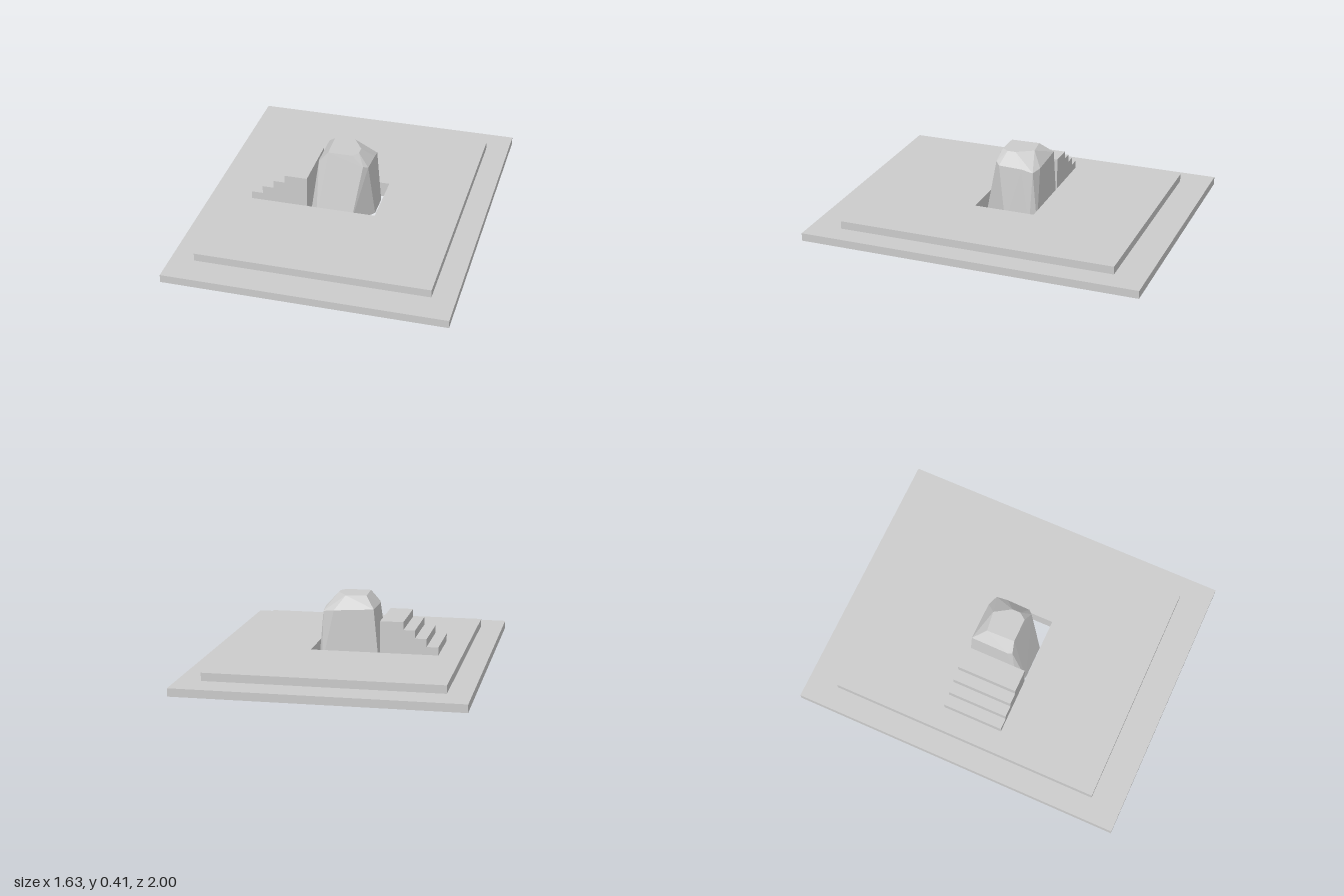
import * as THREE from 'three';
import { mergeGeometries } from 'three/addons/utils/BufferGeometryUtils.js';
import { ConvexGeometry } from 'three/addons/geometries/ConvexGeometry.js';

const BX = 0.068, BY = 0.0467, BZ = 1 / 11; // one paving block

function brick(w, h, d, x, y, z) {
  return new THREE.BoxGeometry(w, h, d).translate(x, y, z);
}

function addMesh(group, name, geometry, material) {
  const mesh = new THREE.Mesh(geometry, material);
  mesh.name = name;
  group.add(mesh);
}

// A tier of nx * nz blocks with the central 6 x 4 block pit left open
function tier(nx, nz, level) {
  const parts = [];
  for (let i = 0; i < nx; i++) {
    for (let k = 0; k < nz; k++) {
      const x = (i - (nx - 1) / 2) * BX;
      const z = (k - (nz - 1) / 2) * BZ;
      if (Math.abs(x) < 3 * BX && Math.abs(z) < 2 * BZ) continue;
      parts.push(brick(BX, BY, BZ, x, (level + 0.5) * BY, z));
    }
  }
  return mergeGeometries(parts);
}

// Staircase climbing towards the pit, two blocks wide
function stairs() {
  const parts = [];
  [1, 2, 3, 4, 4].forEach((count, i) => {
    for (let j = 0; j < count; j++) {
      for (const side of [-1, 1]) {
        parts.push(brick(BX, BY, 2 * BZ, -(7.5 - i) * BX, (2.5 + j) * BY, side * BZ));
      }
    }
  });
  return mergeGeometries(parts);
}

// Faceted boulder standing in the pit: base, shoulder and crown corners
function boulder() {
  const base = [
    [-0.155, 0, 0.168], [0.055, 0, 0.168], [0.165, 0, 0.01], [0.165, 0, -0.14],
    [0.14, 0, -0.18], [-0.2, 0, -0.18], [-0.2, 0, 0.125],
  ];
  const shoulder = [
    [-0.158, 0.345, 0.082], [0.108, 0.352, 0.085], [0.133, 0.338, 0.06],
    [0.137, 0.335, -0.08], [0.135, 0.32, -0.15], [0.07, 0.33, -0.172],
    [-0.165, 0.345, -0.172], [-0.166, 0.34, 0.055],
  ];
  const crown = [
    [-0.105, 0.41, 0.07], [0.04, 0.41, 0.07], [0.07, 0.41, 0.03],
    [0.07, 0.41, -0.02], [0.01, 0.41, -0.115], [-0.11, 0.41, -0.1],
  ];
  return new ConvexGeometry([...base, ...shoulder, ...crown].map((p) => new THREE.Vector3(...p)));
}

export function createModel() {
  const model = new THREE.Group();
  model.name = 'steppedPlatform';
  const stone = new THREE.MeshStandardMaterial({ color: 0xcccccc, flatShading: true });
  addMesh(model, 'lowerTier', tier(24, 22, 0), stone);
  addMesh(model, 'upperTier', tier(20, 18, 1), stone);
  addMesh(model, 'stairs', stairs(), stone);
  addMesh(model, 'boulder', boulder(), stone);
  return model;
}
